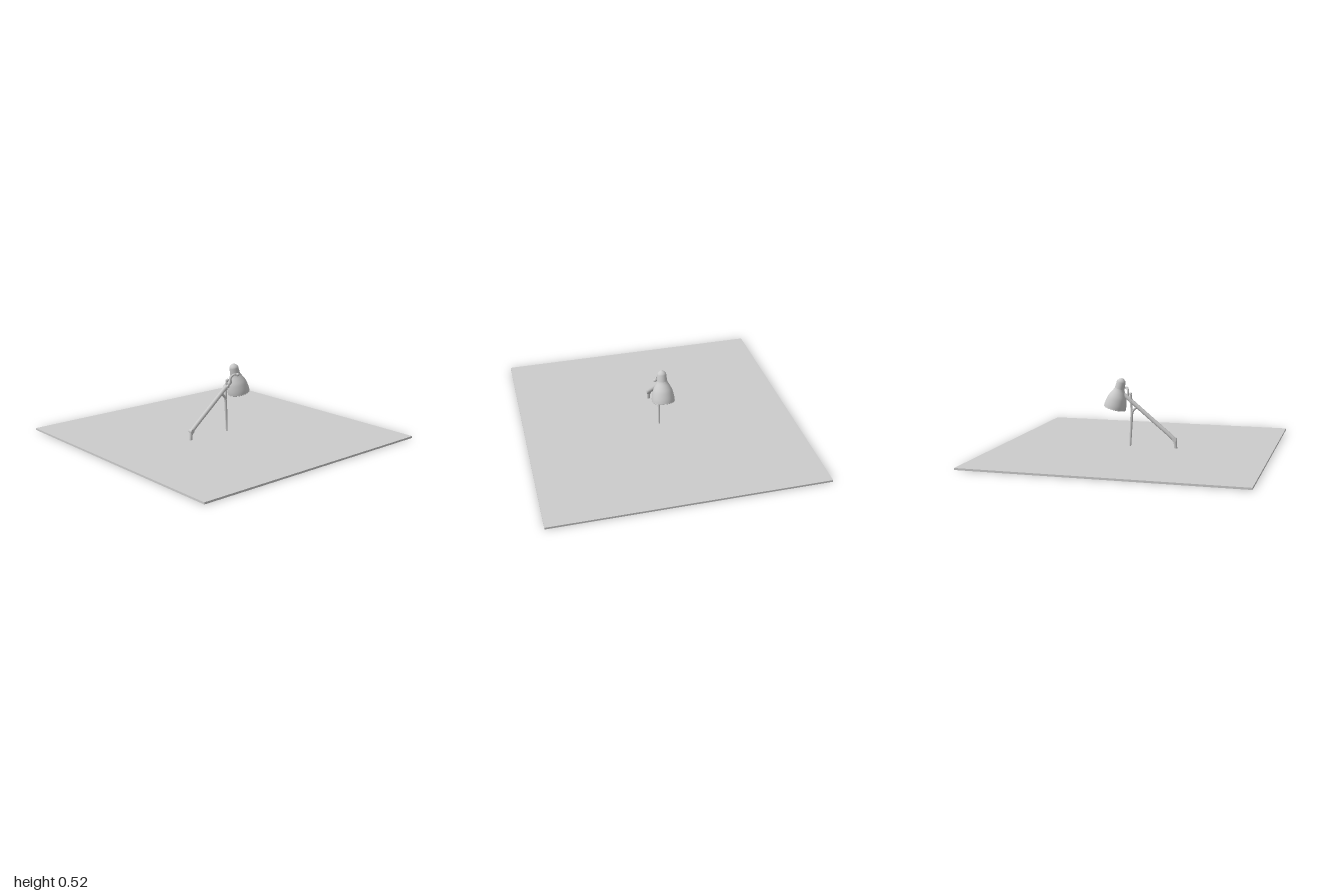
import * as THREE from 'three';

const material = new THREE.MeshStandardMaterial({ color: 0xcccccc, side: THREE.DoubleSide });
const v = (x, y, z = 0) => new THREE.Vector3(x, y, z);

function add(parent, name, geometry, position = v(0, 0)) {
  const mesh = new THREE.Mesh(geometry, material);
  mesh.name = name;
  mesh.position.copy(position);
  parent.add(mesh);
  return mesh;
}

// Round rod through the given points, closed by a ball at each end
function rod(parent, name, points, radius) {
  const group = new THREE.Group();
  group.name = name;
  const curve = new THREE.CatmullRomCurve3(points, false, 'centripetal');
  add(group, name + 'Tube', new THREE.TubeGeometry(curve, 40, radius, 16));
  for (const end of [points[0], points[points.length - 1]]) {
    add(group, name + 'End', new THREE.SphereGeometry(radius, 16, 10), end);
  }
  parent.add(group);
  return group;
}

// Short cylinder lying along z
function pin(parent, name, position, radius, length) {
  const mesh = add(parent, name, new THREE.CylinderGeometry(radius, radius, length, 20), position);
  mesh.rotation.x = Math.PI / 2;
  return mesh;
}

export function createModel() {
  const model = new THREE.Group();
  model.name = 'deskLamp';

  // Thin square ground slab
  add(model, 'basePlate', new THREE.BoxGeometry(2, 0.014, 2), v(0, 0.007));

  // Main arm: straight diagonal with a bent foot
  rod(model, 'arm', [v(-0.283, 0.078), v(-0.27, 0.092), v(-0.1, 0.233), v(0.105, 0.402)], 0.0155);
  const foot = add(model, 'armFoot', new THREE.CylinderGeometry(0.0135, 0.011, 0.07, 18), v(-0.291, 0.047));
  foot.rotation.z = -0.1;
  pin(model, 'footCollar', v(-0.285, 0.078), 0.016, 0.03);

  // Support leg, slightly tapered, rising past the arm
  const leg = add(model, 'supportLeg', new THREE.CylinderGeometry(0.011, 0.007, 0.25, 16), v(0.049, 0.135));
  leg.rotation.z = 0.05;
  rod(model, 'legUpper', [v(0.043, 0.255), v(0.047, 0.33), v(0.053, 0.405)], 0.009);
  rod(model, 'legBrace', [v(0.043, 0.25), v(0.034, 0.28), v(0.015, 0.3), v(-0.005, 0.315)], 0.009);
  pin(model, 'legPivot', v(0.051, 0.36), 0.011, 0.044);
  add(model, 'legKnob', new THREE.SphereGeometry(0.011, 16, 12), v(0.055, 0.407, 0.006));

  // Bracket joining arm and shade, with its side knob
  rod(model, 'shadeBracket', [v(0.078, 0.385, 0.012), v(0.078, 0.425, 0.02),
    v(0.09, 0.447, 0.034), v(0.12, 0.447, 0.04)], 0.008);
  pin(model, 'knobStem', v(0.12, 0.447, 0.035), 0.007, 0.03);
  add(model, 'shadeKnob', new THREE.SphereGeometry(0.0125, 18, 12), v(0.12, 0.447, 0.048));

  // Bell shade with a thin wall, tilted about z
  const shade = new THREE.Group();
  shade.name = 'shade';
  shade.position.set(0.174, 0.297, 0);
  shade.rotation.z = 0.25;
  model.add(shade);
  const bell = [[0.083, 0], [0.082, 0.025], [0.077, 0.055], [0.069, 0.085],
    [0.056, 0.113], [0.043, 0.137], [0.037, 0.152]];
  const smooth = new THREE.SplineCurve(bell.map(([r, y]) => new THREE.Vector2(r, y))).getPoints(24);
  const inner = smooth.map(p => new THREE.Vector2(p.x - 0.004, p.y)).reverse();
  add(shade, 'bellOuter', new THREE.LatheGeometry(smooth, 48));
  add(shade, 'bellInner', new THREE.LatheGeometry(inner, 48));
  const rim = add(shade, 'bellRim', new THREE.TorusGeometry(0.0815, 0.0025, 8, 48));
  rim.rotation.x = Math.PI / 2;

  // Socket housing above the bell, with a pointed cap
  const cap = [[0.037, 0.152], [0.0355, 0.17], [0.034, 0.2], [0.031, 0.211],
    [0.022, 0.221], [0.011, 0.229], [0, 0.234]];
  add(shade, 'socketCap', new THREE.LatheGeometry(cap.map(([r, y]) => new THREE.Vector2(r, y)), 40));

  return model;
}
